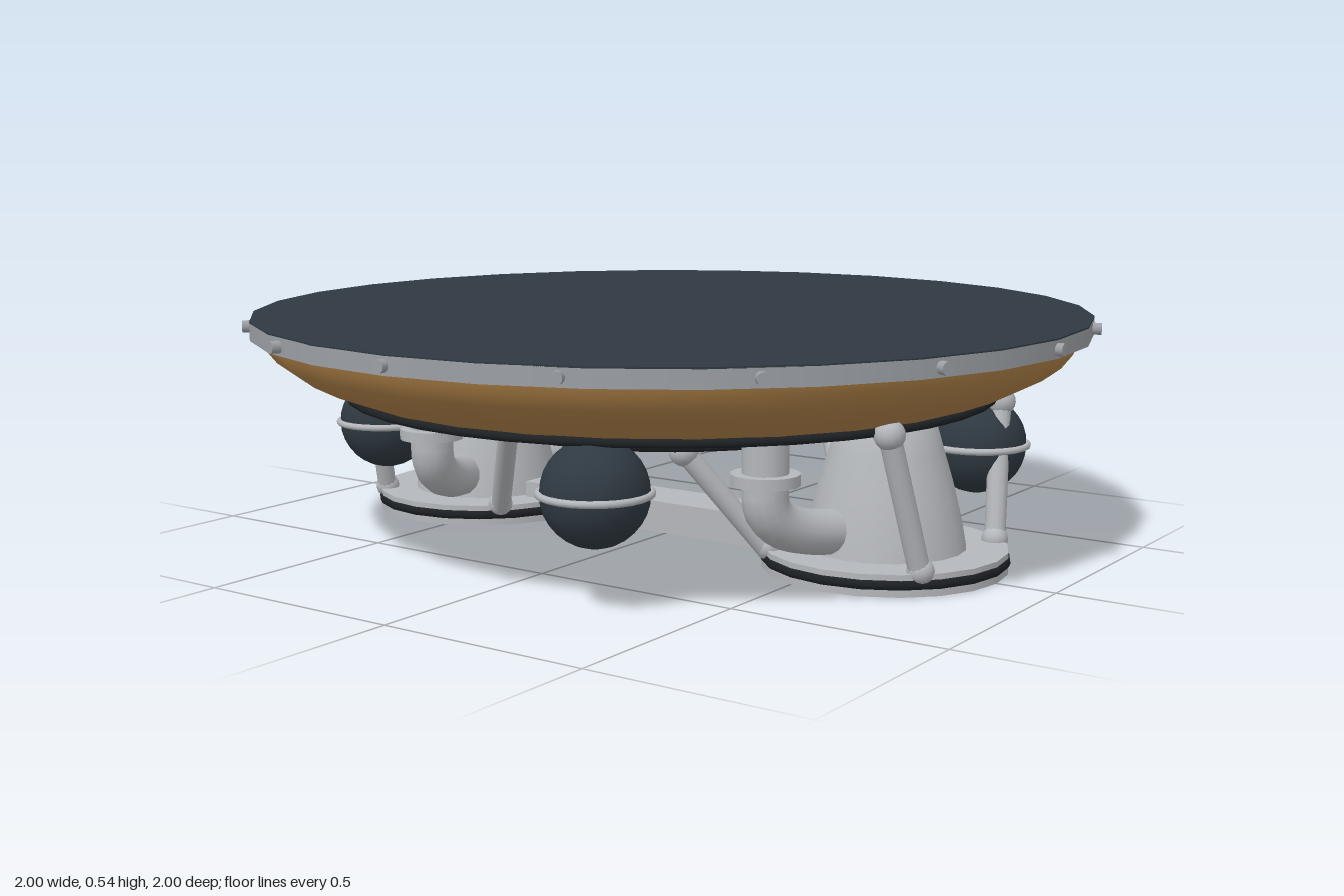
import * as THREE from 'three';

const mat = (name, color) => {
  const m = new THREE.MeshStandardMaterial({ color });
  m.name = name;
  return m;
};

export function createModel() {
  const model = new THREE.Group();
  model.name = 'propulsionModule';
  const slate = mat('dark slate', 0x2f3941);
  const gold = mat('gold foil', 0xb08248);
  const grey = mat('light grey', 0xb4b7bb);
  const rimGrey = mat('rim grey', 0x9b9fa4);
  const black = mat('black', 0x1d2124);

  const add = (name, geometry, material, x = 0, y = 0, z = 0, parent = model) => {
    const mesh = new THREE.Mesh(geometry, material);
    mesh.name = name;
    mesh.position.set(x, y, z);
    parent.add(mesh);
    return mesh;
  };
  const hoop = (radius, tube, sides) => new THREE.TorusGeometry(radius, tube, 8, sides).rotateX(Math.PI / 2);
  // Cylinder running between two points
  const rod = (name, a, b, radius, material, parent) => {
    const dir = b.clone().sub(a);
    const mid = a.clone().add(b).multiplyScalar(0.5);
    const mesh = add(name, new THREE.CylinderGeometry(radius, radius, dir.length(), 12), material, mid.x, mid.y, mid.z, parent);
    mesh.quaternion.setFromUnitVectors(new THREE.Vector3(0, 1, 0), dir.normalize());
    return mesh;
  };

  // Deck disc, rim band and shallow bowl
  const SIDES = 28;
  add('rim', new THREE.CylinderGeometry(0.985, 0.985, 0.04, SIDES), rimGrey, 0, 0.53, 0);
  add('deck', new THREE.CylinderGeometry(0.985, 0.985, 0.004, SIDES), slate, 0, 0.551, 0);
  const bowlY = (r) => 0.52 - 0.24 * Math.sqrt(1 - (r / 0.96) ** 2);
  const profile = [];
  for (let i = 0; i <= 12; i++) {
    const a = (i / 12) * Math.PI / 2;
    profile.push(new THREE.Vector2(0.96 * Math.sin(a), 0.52 - 0.24 * Math.cos(a)));
  }
  add('bowl', new THREE.LatheGeometry(profile, SIDES), gold);
  for (const r of [0.765, 0.46]) add('bowlRing', hoop(r, 0.01, 40), black, 0, bowlY(r) - 0.008, 0);

  // Bolts around the rim
  for (let i = 0; i < 16; i++) {
    const a = (i / 16) * Math.PI * 2;
    const out = new THREE.Vector3(Math.sin(a), 0, Math.cos(a));
    rod('rimBolt', out.clone().multiplyScalar(0.965), out.clone().multiplyScalar(1), 0.014, rimGrey).position.y = 0.53;
  }

  // Four spherical tanks with equator bands
  for (let i = 0; i < 4; i++) {
    const tank = new THREE.Group();
    tank.name = 'tank';
    const a = Math.atan2(0.28, 0.67) + (i * Math.PI) / 2;
    tank.position.set(0.726 * Math.cos(a), 0.255, -0.726 * Math.sin(a));
    add('tankSphere', new THREE.SphereGeometry(0.115, 24, 16), slate, 0, 0, 0, tank);
    add('tankBand', hoop(0.117, 0.008, 24), grey, 0, 0, 0, tank);
    model.add(tank);
  }

  // Beam joining the two engines
  add('beam', new THREE.BoxGeometry(0.8, 0.075, 0.14), grey, 0, 0.058, 0);

  const bellProfile = [[0.185, 0.05], [0.172, 0.12], [0.152, 0.2], [0.128, 0.28], [0.112, 0.335], [0.095, 0.348], [0, 0.348]]
    .map(([r, y]) => new THREE.Vector2(r, y));

  for (const s of [1, -1]) {
    const engine = new THREE.Group();
    engine.name = s > 0 ? 'leftEngine' : 'rightEngine';
    model.add(engine);
    const cx = s * 0.585;
    // Foot flange with black seal, and the bell above it
    add('flange', new THREE.CylinderGeometry(0.277, 0.277, 0.018, 20), grey, cx, 0.017, 0, engine);
    add('flange', new THREE.CylinderGeometry(0.277, 0.277, 0.014, 20), grey, cx, 0.05, 0, engine);
    add('flangeCore', new THREE.CylinderGeometry(0.265, 0.265, 0.03, 20), black, cx, 0.035, 0, engine);
    add('flangeSeal', hoop(0.268, 0.014, 20), black, cx, 0.034, 0, engine);
    add('bell', new THREE.LatheGeometry(bellProfile, 20), grey, cx, 0, 0, engine);

    for (const t of [1, -1]) {
      const p = (x, y, z) => new THREE.Vector3(s * x, y, t * z);
      // Feed pipe: straight drop, then an elbow into the bell
      const path = new THREE.CurvePath();
      path.add(new THREE.LineCurve3(p(0.475, 0.34, 0.33), p(0.475, 0.21, 0.33)));
      path.add(new THREE.QuadraticBezierCurve3(p(0.475, 0.21, 0.33), p(0.475, 0.108, 0.33), p(0.565, 0.108, 0.08)));
      add('feedPipe', new THREE.TubeGeometry(path, 24, 0.051, 14), grey, 0, 0, 0, engine);
      add('pipeCap', new THREE.CylinderGeometry(0.051, 0.051, 0.01, 14), grey, s * 0.475, 0.335, t * 0.33, engine);
      add('pipeCollar', new THREE.CylinderGeometry(0.076, 0.076, 0.025, 16), grey, s * 0.475, 0.25, t * 0.33, engine);
      // Struts with ball ends up to the bowl
      for (const [foot, top] of [
        [p(0.77, 0.05, 0.18), p(0.735, 0.362, 0.265)],
        [p(0.39, 0.05, 0.18), p(0.25, 0.282, 0.31)],
      ]) {
        rod('strut', foot, top, 0.024, grey, engine);
        add('strutBall', new THREE.SphereGeometry(0.034, 14, 10), grey, top.x, top.y, top.z, engine);
        add('strutFoot', new THREE.SphereGeometry(0.03, 14, 10), grey, foot.x, foot.y + 0.01, foot.z, engine);
      }
    }
  }
  return model;
}
